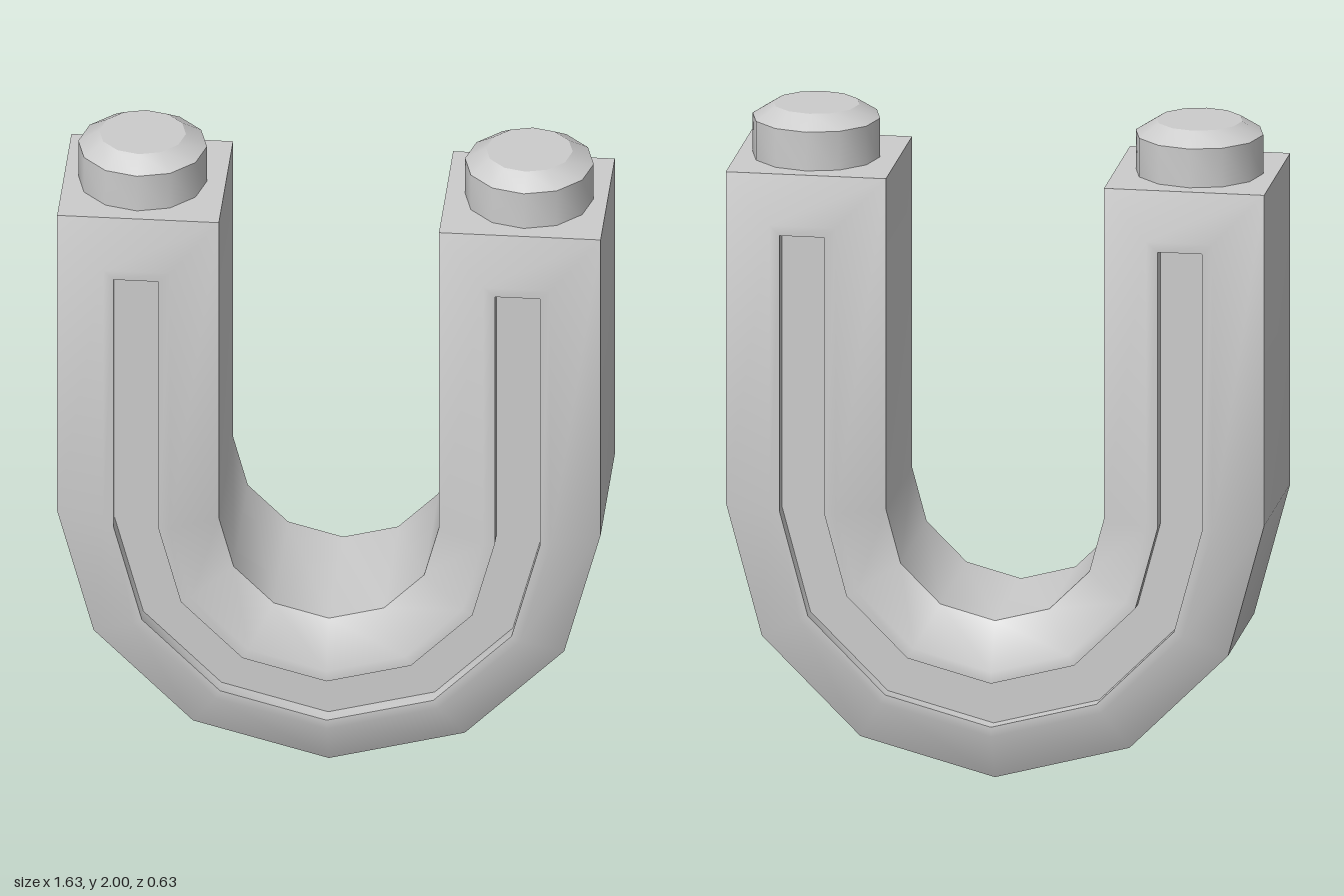
import * as THREE from 'three';
import { toCreasedNormals } from 'three/addons/utils/BufferGeometryUtils.js';

const CENTRE_Y = 0.815;

// One edge line of the U: down the +x leg, round the bend in 30 degree steps, up the -x leg
function rail([radius, top, z]) {
  const points = [[radius, top, z]];
  for (let i = 0; i <= 6; i++) {
    const a = (i * Math.PI) / 6;
    points.push([radius * Math.cos(a), CENTRE_Y - radius * Math.sin(a), z]);
  }
  points.push([-radius, top, z]);
  return points;
}

function createBody() {
  // Front half of the section: [radius of bend, height of leg end, z]
  const half = [
    [0.815, 1.84, 0.24], // outer edge
    [0.67, 1.7, 0.315], // bevel
    [0.64, 1.67, 0.315], // groove rim
    [0.64, 1.67, 0.265], // groove floor
    [0.505, 1.67, 0.265],
    [0.505, 1.67, 0.315],
    [0.47, 1.7, 0.315],
    [0.33, 1.84, 0.24], // inner edge
  ];
  const back = half.map(([r, t, z]) => [r, t, -z]).reverse();
  const rails = [...half, ...back].map(rail);
  const n = rails.length;
  const last = rails[0].length - 1;
  const positions = [];
  const quad = (a, b, c, d) => positions.push(...a, ...b, ...c, ...a, ...c, ...d);

  // Skin between neighbouring rails
  for (let i = 0; i < n; i++) {
    const p = rails[i], q = rails[(i + 1) % n];
    for (let s = 0; s < last; s++) quad(p[s], q[s], q[s + 1], p[s + 1]);
  }

  // Leg ends: flat top, end bevels, rim ends and groove ends
  const ends = [
    [15, 8, 7, 0],
    [0, 7, 6, 1], [1, 6, 5, 2], [2, 5, 4, 3],
    [8, 15, 14, 9], [9, 14, 13, 10], [10, 13, 12, 11],
  ];
  for (const face of ends) {
    quad(...face.map((i) => rails[i][0]));
    quad(...face.map((i) => rails[i][last]).reverse());
  }

  const geometry = new THREE.BufferGeometry();
  geometry.setAttribute('position', new THREE.Float32BufferAttribute(positions, 3));
  return toCreasedNormals(geometry, THREE.MathUtils.degToRad(42));
}

// Round peg with a chamfered top
function createStud() {
  const profile = [[0, 1.82], [0.193, 1.82], [0.193, 1.96], [0.13, 2], [0, 2]];
  const geometry = new THREE.LatheGeometry(profile.map(([x, y]) => new THREE.Vector2(x, y)), 12, Math.PI / 2);
  return toCreasedNormals(geometry, THREE.MathUtils.degToRad(32));
}

export function createModel() {
  const model = new THREE.Group();
  model.name = 'uShapedLink';
  const material = new THREE.MeshStandardMaterial({ color: 0xcccccc });

  const body = new THREE.Mesh(createBody(), material);
  body.name = 'groovedUBody';
  model.add(body);

  const studGeometry = createStud();
  for (const [name, side] of [['leftStud', 1], ['rightStud', -1]]) {
    const stud = new THREE.Mesh(studGeometry, material);
    stud.name = name;
    stud.position.x = side * 0.58;
    model.add(stud);
  }
  return model;
}
